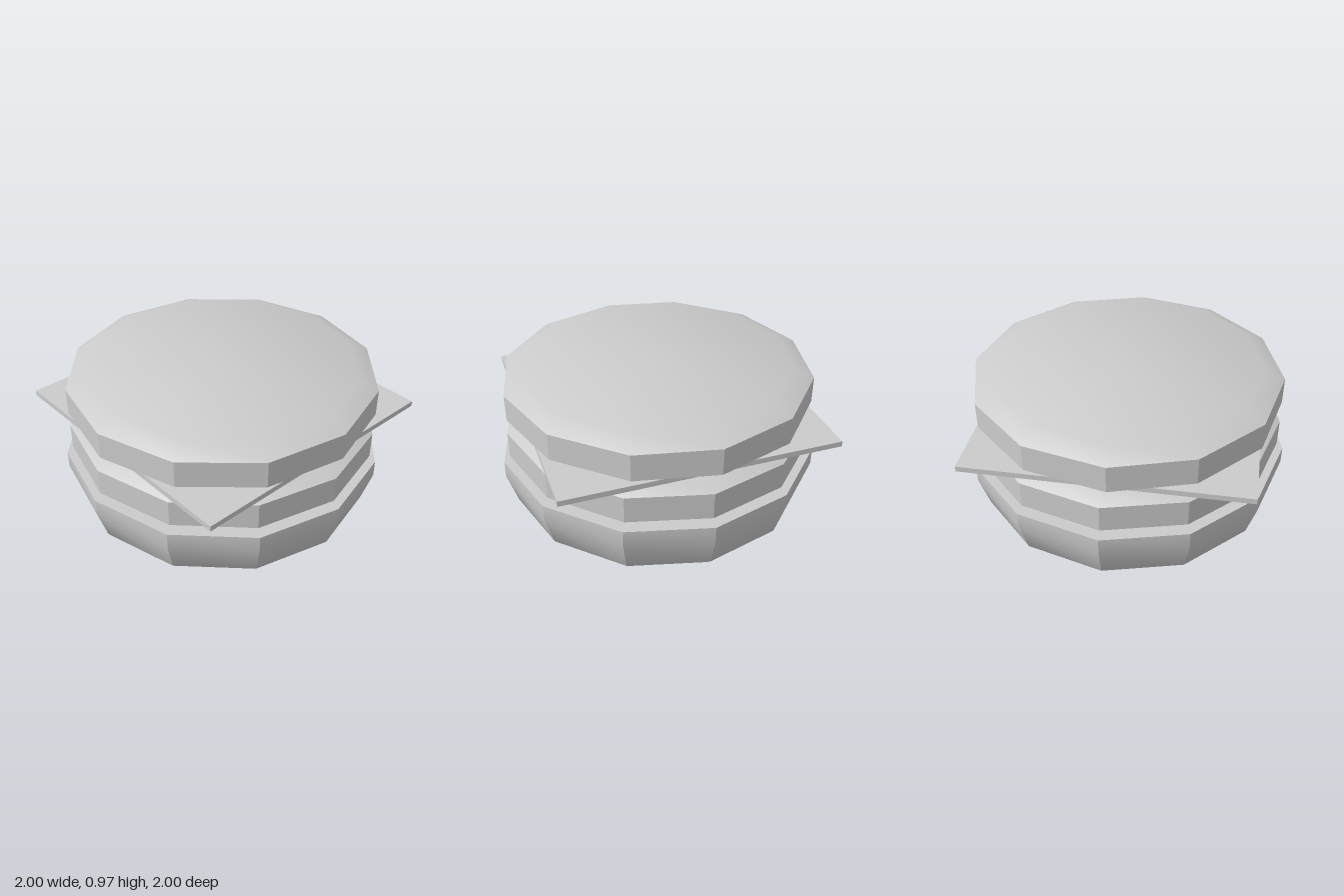
import * as THREE from 'three';
import { mergeGeometries, toCreasedNormals } from 'three/addons/utils/BufferGeometryUtils.js';

const SIDES = 12;
const material = new THREE.MeshStandardMaterial({ color: 0xcccccc });
const toPoints = (list) => list.map(([r, y]) => new THREE.Vector2(r, y));

function addMesh(group, name, geometry, y = 0, turn = 0) {
  const mesh = new THREE.Mesh(geometry, material);
  mesh.name = name;
  mesh.position.y = y;
  mesh.rotation.y = turn;
  group.add(mesh);
}

// Twelve columns, each smooth from bottom to top but sharp against its neighbours
function bunGeometry() {
  const profile = [[0.82, 0], [0.938, 0.11], [1, 0.31], [1, 0.417]];
  const step = (Math.PI * 2) / SIDES;
  const pieces = [];
  for (let i = 0; i < SIDES; i++) {
    const column = new THREE.LatheGeometry(toPoints(profile), 1, i * step, step);
    column.computeVertexNormals();
    pieces.push(column);
  }
  // flat underside and cut face
  pieces.push(new THREE.CircleGeometry(0.82, SIDES).rotateX(Math.PI / 2));
  pieces.push(new THREE.CircleGeometry(1, SIDES).rotateX(-Math.PI / 2).translate(0, 0.417, 0));
  return mergeGeometries(pieces);
}

// Disc with softly chamfered top and bottom
function pattyGeometry() {
  const profile = [[0, 0], [0.845, 0], [0.96, 0.055], [0.96, 0.222], [0.845, 0.277], [0, 0.277]];
  return toCreasedNormals(new THREE.LatheGeometry(toPoints(profile), SIDES), 0.5);
}

export function createModel() {
  const group = new THREE.Group();
  group.name = 'burger';

  addMesh(group, 'bottomBun', bunGeometry());
  addMesh(group, 'lowerPatty', pattyGeometry(), 0.4);
  addMesh(group, 'cheeseSlice', new THREE.BoxGeometry(1.685, 0.034, 1.685), 0.687);
  addMesh(group, 'upperPatty', pattyGeometry(), 0.688, 0.044);

  return group;
}
